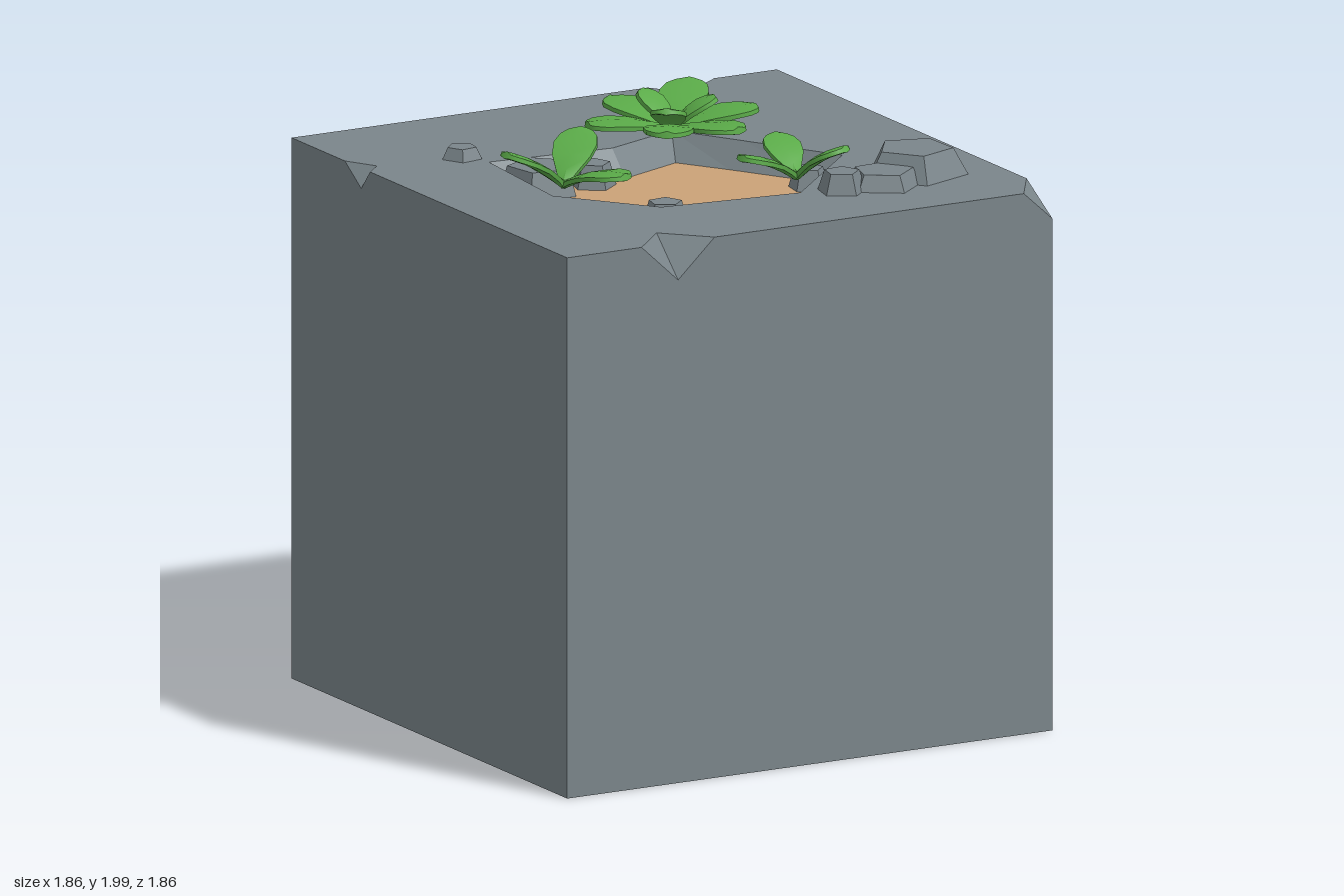
import * as THREE from 'three';
import { toCreasedNormals } from 'three/addons/utils/BufferGeometryUtils.js';

const H = 0.93, T = 1.86, FLOOR = 1.77;
const stone = new THREE.MeshStandardMaterial({ name: 'grey stone', color: 0x7a858a });
const sand = new THREE.MeshStandardMaterial({ name: 'sand', color: 0xcaa277 });
const green = new THREE.MeshStandardMaterial({ name: 'leaf green', color: 0x5aaa48 });
const UP = [0, 1, 0];

function add(parent, name, geometry, material) {
  const mesh = new THREE.Mesh(geometry, material);
  mesh.name = name;
  parent.add(mesh);
  return mesh;
}

// Triangulates a planar polygon (with holes) so that it faces the direction "out"
function face(out, positions, outline, holes = []) {
  const o = new THREE.Vector3(...out);
  const drop = out.findIndex((v) => v !== 0);
  const keep = [0, 1, 2].filter((i) => i !== drop);
  const flat = (ring) => ring.map((p) => new THREE.Vector2(p[keep[0]], p[keep[1]]));
  const all = [outline, ...holes].flat().map((p) => new THREE.Vector3(...p));
  for (const [a, b, c] of THREE.ShapeUtils.triangulateShape(flat(outline), holes.map(flat))) {
    const n = all[b].clone().sub(all[a]).cross(all[c].clone().sub(all[a]));
    const order = n.dot(o) > 0 ? [a, b, c] : [a, c, b];
    order.forEach((i) => positions.push(...all[i].toArray()));
  }
}

function toGeometry(positions) {
  const g = new THREE.BufferGeometry();
  g.setAttribute('position', new THREE.Float32BufferAttribute(positions, 3));
  g.computeVertexNormals();
  return g;
}

// Pit outline at the rim and at the floor, as x, z
const rim = [[-0.52, -0.32], [-0.07, -0.28], [0.22, -0.39], [0.36, -0.15],
  [0.55, 0.18], [0.18, 0.55], [-0.32, 0.49], [-0.56, 0.18]].map(([x, z]) => [x, T, z]);
const floor = [[-0.46, -0.24], [-0.06, -0.21], [0.19, -0.31], [0.30, -0.14],
  [0.48, 0.16], [0.16, 0.48], [-0.29, 0.43], [-0.49, 0.15]].map(([x, z]) => [x, FLOOR, z]);

// Chips along the top edges: start, inner point, end, low point on the wall
const chips = {
  front: [[-0.645, T, H], [-0.505, T, 0.785], [-0.365, T, H], [-0.505, 1.73, H]],
  back: [[0.69, T, -H], [0.52, T, -0.81], [0.435, T, -H], [0.52, 1.75, -H]],
  left: [[-H, T, -0.57], [-0.87, T, -0.46], [-H, T, -0.40], [-H, 1.79, -0.46]],
};
const corner = [[0.82, T, H], [H, T, 0.755], [H, 1.76, H]];

function buildBlock(group) {
  const p = [];
  const { front, back, left } = chips;
  // top with the pit opening
  face(UP, p, [[-H, T, H], ...front.slice(0, 3), corner[0], corner[1], [H, T, -H],
    ...back.slice(0, 3), [-H, T, -H], ...left.slice(0, 3)], [rim]);
  // walls
  face([0, 0, 1], p, [[-H, 0, H], [H, 0, H], corner[2], corner[0],
    front[2], front[3], front[0], [-H, T, H]]);
  face([0, 0, -1], p, [[H, 0, -H], [-H, 0, -H], [-H, T, -H], back[2], back[3], back[0], [H, T, -H]]);
  face([1, 0, 0], p, [[H, 0, H], [H, 0, -H], [H, T, -H], corner[1], corner[2]]);
  face([-1, 0, 0], p, [[-H, 0, -H], [-H, 0, H], [-H, T, H], left[2], left[3], left[0], [-H, T, -H]]);
  face([0, -1, 0], p, [[-H, 0, -H], [H, 0, -H], [H, 0, H], [-H, 0, H]]);
  // chipped faces
  for (const [a, inner, b, low] of Object.values(chips)) {
    face(UP, p, [a, inner, low]);
    face(UP, p, [inner, b, low]);
  }
  face(UP, p, corner);
  // sloping pit walls
  rim.forEach((r, i) => {
    const j = (i + 1) % rim.length;
    face(UP, p, [r, rim[j], floor[j]]);
    face(UP, p, [r, floor[j], floor[i]]);
  });
  add(group, 'stoneBlock', toGeometry(p), stone);

  const s = [];
  face(UP, s, floor);
  add(group, 'sandFloor', toGeometry(s), sand);
}

// Five-sided tapered pebble
function pebble(group, x, z, radius, base, height, turn, taper = 0.72) {
  const g = new THREE.CylinderGeometry(radius * taper, radius, height, 5, 1, false, turn).toNonIndexed();
  g.computeVertexNormals();
  add(group, 'pebble', g, stone).position.set(x, base + height / 2, z);
}

// Thick rounded leaf from base to tip, made of six-point cross-sections
function leaf(group, base, tip, width, arch) {
  const a = new THREE.Vector3(...base), b = new THREE.Vector3(...tip);
  const dir = b.clone().sub(a).normalize();
  const side = new THREE.Vector3(0, 1, 0).cross(dir).normalize();
  const normal = dir.clone().cross(side);
  const stations = [[0, 0.2], [0.2, 0.5], [0.45, 0.88], [0.68, 1], [0.86, 0.84], [0.96, 0.55], [1, 0.3]];
  const section = [[1, 0.005], [0, 0.012], [-1, 0.005], [-1, -0.01], [0, -0.014], [1, -0.01]];
  const rings = stations.map(([t, w]) => {
    const c = a.clone().lerp(b, t).addScaledVector(normal, arch * Math.sin(Math.PI * t));
    return section.map(([u, v]) => c.clone()
      .addScaledVector(side, u * w * width / 2).addScaledVector(normal, v));
  });
  const p = [];
  const tri = (...pts) => pts.forEach((q) => p.push(q.x, q.y, q.z));
  for (let i = 0; i < rings.length - 1; i++) {
    for (let j = 0; j < 6; j++) {
      const k = (j + 1) % 6, r = rings[i], n = rings[i + 1];
      tri(r[j], r[k], n[k]);
      tri(r[j], n[k], n[j]);
    }
  }
  const end = rings[rings.length - 1], start = rings[0];
  for (let j = 1; j < 5; j++) {
    tri(end[0], end[j], end[j + 1]);
    tri(start[0], start[j + 1], start[j]);
  }
  add(group, 'leaf', toCreasedNormals(toGeometry(p), 0.6), green);
}

function plant(parent, name, centre, leaves) {
  const g = new THREE.Group();
  g.name = name;
  for (const [x, y, z, width, arch = 0.015] of leaves) leaf(g, centre, [x, y, z], width, arch);
  parent.add(g);
}

export function createModel() {
  const model = new THREE.Group();
  model.name = 'plantedStoneBlock';
  buildBlock(model);

  const pebbles = new THREE.Group();
  pebbles.name = 'pebbles';
  // on the top: x, z, radius, base, height, turn
  pebble(pebbles, 0.64, 0.51, 0.18, T, 0.09, 0.98);
  pebble(pebbles, 0.47, 0.60, 0.13, T, 0.055, 0.05, 0.78);
  pebble(pebbles, 0.31, 0.60, 0.085, T, 0.07, 0.1);
  pebble(pebbles, -0.57, -0.415, 0.07, T, 0.04, 0.8);
  // in the pit
  pebble(pebbles, -0.39, -0.20, 0.14, FLOOR, 0.09, 0.5, 0.8);
  pebble(pebbles, -0.20, -0.18, 0.08, FLOOR, 0.08, 1.3);
  pebble(pebbles, -0.25, 0.395, 0.08, FLOOR, 0.08, 0.1);
  pebble(pebbles, 0.41, 0.20, 0.07, FLOOR, 0.07, 1.4);
  model.add(pebbles);

  // leaves: tip x, y, z, width, arch
  plant(model, 'largePlant', [0.21, 1.87, -0.37], [
    [0.12, 1.93, -0.635, 0.17], [0.39, 1.975, -0.565, 0.17], [0.50, 1.925, -0.31, 0.17],
    [0.30, 1.92, -0.075, 0.17], [0.06, 1.92, -0.14, 0.17], [-0.085, 1.91, -0.42, 0.17],
    [0.16, 1.985, -0.49, 0.11], [0.35, 1.975, -0.32, 0.11], [0.11, 1.975, -0.23, 0.12],
  ]);
  plant(model, 'leftSmallPlant', [-0.415, 1.84, 0], [
    [-0.645, 1.975, 0.015, 0.16], [-0.26, 1.98, -0.15, 0.15], [-0.32, 1.91, 0.25, 0.16, 0.02],
  ]);
  plant(model, 'rightSmallPlant', [0.335, 1.83, 0.25], [
    [0.105, 1.93, 0.29, 0.14], [0.36, 1.93, 0.06, 0.13], [0.43, 1.95, 0.415, 0.13],
  ]);
  return model;
}
